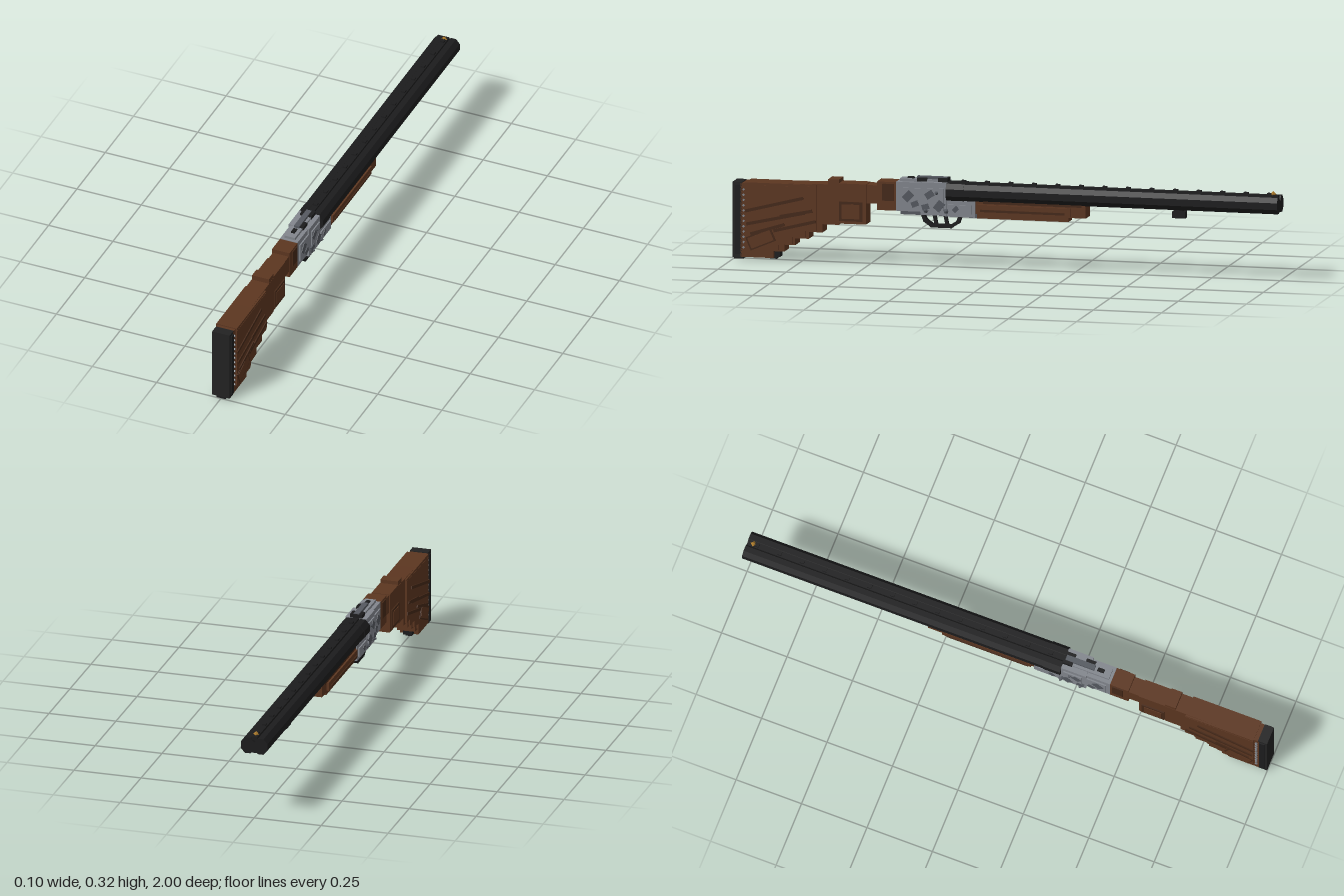
import * as THREE from 'three';

const mat = (name, color) => new THREE.MeshStandardMaterial({ name, color });

export function createModel() {
  const root = new THREE.Group();
  root.name = 'doubleBarrelGun';
  const wood = mat('walnut', 0x5c3620);
  const darkWood = mat('dark walnut', 0x452817);
  const black = mat('blued steel', 0x1c1c1d);
  const rubber = mat('black rubber', 0x222222);
  const silver = mat('silver steel', 0x82868d);
  const grey = mat('dark steel', 0x555960);
  const gold = mat('brass', 0xa8782a);

  const add = (parent, name, geo, m) => {
    const mesh = new THREE.Mesh(geo, m);
    mesh.name = name;
    parent.add(mesh);
    return mesh;
  };
  const group = (name) => {
    const g = new THREE.Group();
    g.name = name;
    root.add(g);
    return g;
  };
  // Box given by its z range, y range, and x half width (or x centre and half width)
  const box = (parent, name, m, z0, z1, y0, y1, hw, x = 0) => {
    const b = add(parent, name, new THREE.BoxGeometry(hw * 2, y1 - y0, Math.abs(z1 - z0)), m);
    b.position.set(x, (y0 + y1) / 2, (z0 + z1) / 2);
    return b;
  };
  // Plate on both flanks, tilted in the side plane
  const flank = (parent, name, m, z, y, len, h, x, tilt = 0, t = 0.006) => {
    for (const s of [1, -1]) {
      const b = add(parent, name, new THREE.BoxGeometry(t, h, len), m);
      b.position.set(s * x, y, z);
      b.rotation.x = tilt;
    }
  };
  // Side outline in (z, y), extruded across x
  const slab = (parent, name, m, pts, hw) => {
    const shape = new THREE.Shape(pts.map(([z, y]) => new THREE.Vector2(-z, y)));
    const geo = new THREE.ExtrudeGeometry(shape, { depth: hw * 2, bevelEnabled: false });
    geo.translate(0, 0, -hw);
    geo.rotateY(Math.PI / 2);
    return add(parent, name, geo, m);
  };

  // Butt stock with its stepped underside
  const stock = group('stock');
  slab(stock, 'stockCore', wood, [
    [0.97, 0.01], [0.85, 0.01], [0.85, 0.035], [0.81, 0.035], [0.81, 0.06], [0.77, 0.06],
    [0.77, 0.085], [0.72, 0.085], [0.72, 0.11], [0.67, 0.11], [0.67, 0.14], [0.61, 0.14],
    [0.61, 0.286], [0.97, 0.277],
  ], 0.034);
  slab(stock, 'stockCheeks', wood, [
    [0.95, 0.035], [0.83, 0.04], [0.83, 0.06], [0.78, 0.065], [0.78, 0.09], [0.73, 0.09],
    [0.73, 0.115], [0.69, 0.115], [0.69, 0.275], [0.95, 0.27],
  ], 0.041);
  box(stock, 'combRidge', wood, 0.69, 0.95, 0.265, 0.281, 0.04);
  box(stock, 'gripBlock', wood, 0.51, 0.61, 0.145, 0.29, 0.034);
  box(stock, 'wrist', wood, 0.46, 0.51, 0.222, 0.288, 0.031);
  box(stock, 'wristCollar', wood, 0.40, 0.47, 0.20, 0.303, 0.034);
  box(stock, 'collarBand', darkWood, 0.41, 0.45, 0.235, 0.296, 0.038);
  box(stock, 'combStep', wood, 0.61, 0.65, 0.27, 0.303, 0.033);
  flank(stock, 'gripPanel', darkWood, 0.565, 0.19, 0.085, 0.07, 0.036);
  flank(stock, 'gripPanelInset', wood, 0.565, 0.19, 0.066, 0.052, 0.038);
  // Carved ribs rising towards the front
  for (const [z, y, len, tilt] of [
    [0.845, 0.205, 0.22, 0.25], [0.84, 0.155, 0.22, 0.22], [0.77, 0.13, 0.16, 0.25],
    [0.87, 0.115, 0.13, 0.3], [0.765, 0.175, 0.12, 0.2],
  ]) flank(stock, 'stockRib', darkWood, z, y, len, 0.011, 0.042, tilt);
  flank(stock, 'stockSidePlate', darkWood, 0.895, 0.078, 0.10, 0.05, 0.0405, 0.4);
  flank(stock, 'stockSidePlateInset', wood, 0.895, 0.078, 0.088, 0.04, 0.042, 0.4);

  // Recoil pad, spacer studs and rear sling stud
  const pad = group('recoilPad');
  box(pad, 'padPlate', rubber, 0.965, 1.0, 0.008, 0.28, 0.034);
  box(pad, 'padRim', black, 0.97, 0.99, 0.02, 0.27, 0.038);
  box(pad, 'padToe', black, 0.965, 0.998, 0.0, 0.02, 0.017);
  for (let i = 0; i < 12; i++) flank(pad, 'spacerStud', silver, 0.959, 0.045 + i * 0.019, 0.007, 0.007, 0.035, Math.PI / 4);
  box(pad, 'slingStud', black, 0.83, 0.88, 0.012, 0.038, 0.017);
  box(pad, 'slingStudBase', black, 0.842, 0.868, 0.004, 0.03, 0.012);

  // Receiver
  const receiver = group('receiver');
  box(receiver, 'receiverRear', silver, 0.30, 0.40, 0.20, 0.305, 0.034);
  box(receiver, 'receiverFront', silver, 0.215, 0.31, 0.19, 0.308, 0.04);
  box(receiver, 'receiverBar', silver, 0.11, 0.22, 0.187, 0.245, 0.037);
  box(receiver, 'receiverTang', grey, 0.22, 0.385, 0.187, 0.203, 0.026);
  box(receiver, 'topStrap', silver, 0.22, 0.39, 0.30, 0.315, 0.02);
  flank(receiver, 'lockPlate', silver, 0.345, 0.25, 0.08, 0.07, 0.036);
  flank(receiver, 'lockPlateFront', silver, 0.26, 0.248, 0.07, 0.08, 0.042);
  flank(receiver, 'barPlate', silver, 0.165, 0.215, 0.085, 0.032, 0.039);
  for (const [z, y, s, x, tilt] of [
    [0.355, 0.255, 0.028, 0.038, 0.8], [0.33, 0.228, 0.02, 0.038, 0.4], [0.275, 0.265, 0.024, 0.044, 0.6],
    [0.24, 0.225, 0.028, 0.044, 0.9], [0.29, 0.22, 0.02, 0.044, 0.3], [0.18, 0.215, 0.016, 0.041, 0.8],
  ]) flank(receiver, 'engraving', grey, z, y, s * 1.3, s, x, tilt);
  for (const s of [1, -1]) for (const [z, y] of [[0.25, 0.272], [0.215, 0.207], [0.29, 0.207]]) {
    const pin = add(receiver, 'hingePin', new THREE.CylinderGeometry(0.003, 0.01, 0.012, 6), grey);
    pin.rotation.z = -s * Math.PI / 2;
    pin.position.set(s * 0.046, y, z);
  }

  // Top lever and safety
  const lever = group('topLever');
  box(lever, 'leverBar', grey, 0.22, 0.33, 0.312, 0.324, 0.01);
  box(lever, 'leverCrossPiece', black, 0.215, 0.25, 0.308, 0.321, 0.023);
  box(lever, 'leverThumbPiece', black, 0.29, 0.325, 0.308, 0.32, 0.008, 0.016);
  box(lever, 'safetySlide', black, 0.34, 0.365, 0.312, 0.32, 0.007);

  // Trigger guard hoop and two triggers
  const guard = group('triggerGuard');
  const hoop = [[0.31, 0.19], [0.30, 0.165], [0.275, 0.147], [0.205, 0.147], [0.18, 0.163], [0.17, 0.19]];
  for (let i = 0; i < hoop.length - 1; i++) {
    const [za, ya] = hoop[i], [zb, yb] = hoop[i + 1];
    const bar = add(guard, 'guardBar', new THREE.BoxGeometry(0.024, 0.012, Math.hypot(zb - za, yb - ya) + 0.007), black);
    bar.position.set(0, (ya + yb) / 2, (za + zb) / 2);
    bar.rotation.x = Math.atan2(-(yb - ya), zb - za);
  }
  for (const z of [0.265, 0.225]) {
    const t = box(guard, 'trigger', black, z - 0.006, z + 0.006, 0.153, 0.195, 0.006);
    t.rotation.x = 0.2;
  }

  // Side by side eight-sided barrels
  const barrels = group('barrels');
  const faceted = (name, x, r, z0, z1) => {
    const geo = new THREE.CylinderGeometry(r, r, z0 - z1, 8).toNonIndexed();
    geo.computeVertexNormals();
    geo.rotateY(Math.PI / 8);
    geo.rotateX(Math.PI / 2);
    const b = add(barrels, name, geo, black);
    b.scale.y = 1.18;
    b.position.set(x, 0.275, (z0 + z1) / 2);
  };
  for (const s of [1, -1]) {
    faceted('barrel', s * 0.0245, 0.0272, 0.215, -1);
    faceted('chamber', s * 0.025, 0.0285, 0.215, 0.15);
  }
  box(barrels, 'lowerRib', black, 0.2, -0.995, 0.247, 0.26, 0.012);
  box(barrels, 'topRib', black, 0.215, -0.995, 0.295, 0.309, 0.011);
  for (let i = 0; i < 14; i++) {
    const z = 0.16 - i * 0.0863;
    box(barrels, 'ribBead', black, z - 0.008, z + 0.008, 0.305, 0.315, 0.007);
  }
  const bead = add(barrels, 'frontSight', new THREE.OctahedronGeometry(0.011), gold);
  bead.position.set(0, 0.312, -0.975);
  box(barrels, 'slingLoopNeck', black, -0.615, -0.645, 0.225, 0.25, 0.009);
  box(barrels, 'slingLoop', black, -0.607, -0.655, 0.212, 0.236, 0.014);

  // Fore-end
  const foreEnd = group('foreEnd');
  box(foreEnd, 'foreEndUpper', wood, 0.11, -0.295, 0.2, 0.253, 0.033);
  box(foreEnd, 'foreEndLower', wood, 0.105, -0.23, 0.184, 0.24, 0.028);
  box(foreEnd, 'foreEndSides', wood, 0.10, -0.24, 0.205, 0.235, 0.041);
  flank(foreEnd, 'foreEndGroove', darkWood, -0.065, 0.214, 0.31, 0.008, 0.042);
  flank(foreEnd, 'foreEndUpperGroove', darkWood, -0.1, 0.243, 0.36, 0.008, 0.034);
  box(foreEnd, 'foreEndIron', grey, 0.10, 0.14, 0.184, 0.2, 0.024);

  return root;
}
